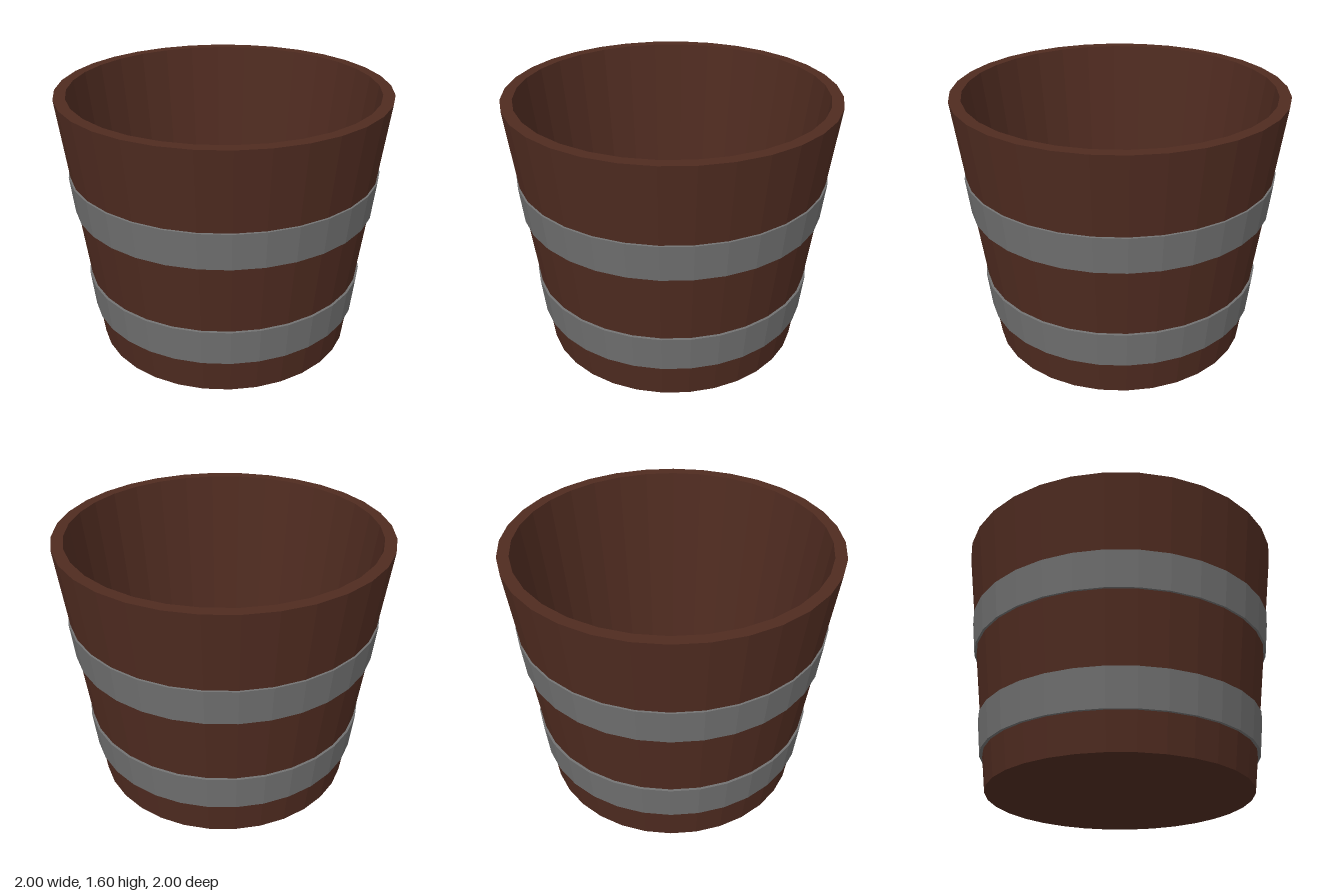
import * as THREE from 'three';

const SIDES = 32;

// Faceted solid of revolution from [radius, height] pairs
function turned(name, profile, material) {
  const points = profile.map(([r, y]) => new THREE.Vector2(r, y));
  const mesh = new THREE.Mesh(new THREE.LatheGeometry(points, SIDES), material);
  mesh.name = name;
  return mesh;
}

// Outer radius of the tapered wall at a given height
const wallRadius = (y) => 0.8 + 0.125 * y;

export function createModel() {
  const group = new THREE.Group();
  group.name = 'bucket';
  const wood = new THREE.MeshStandardMaterial({ color: 0x4f2b20, flatShading: true });
  const metal = new THREE.MeshStandardMaterial({ color: 0x707070, flatShading: true });

  // Tub: underside, outer wall, rim, inner wall and floor
  group.add(turned('tub', [
    [0, 0], [wallRadius(0), 0], [wallRadius(1.6), 1.6],
    [0.93, 1.6], [0.735, 0.04], [0, 0.04],
  ], wood));

  // Hoops: tapered bands standing slightly proud of the wall
  const hoops = [['lowerHoop', 0.22, 0.45, 0.845, 0.87], ['upperHoop', 0.89, 1.115, 0.925, 0.95]];
  for (const [name, y0, y1, r0, r1] of hoops) {
    group.add(turned(name, [
      [wallRadius(y0) - 0.01, y0], [r0, y0], [r1, y1], [wallRadius(y1) - 0.01, y1 + 0.004],
    ], metal));
  }
  return group;
}
